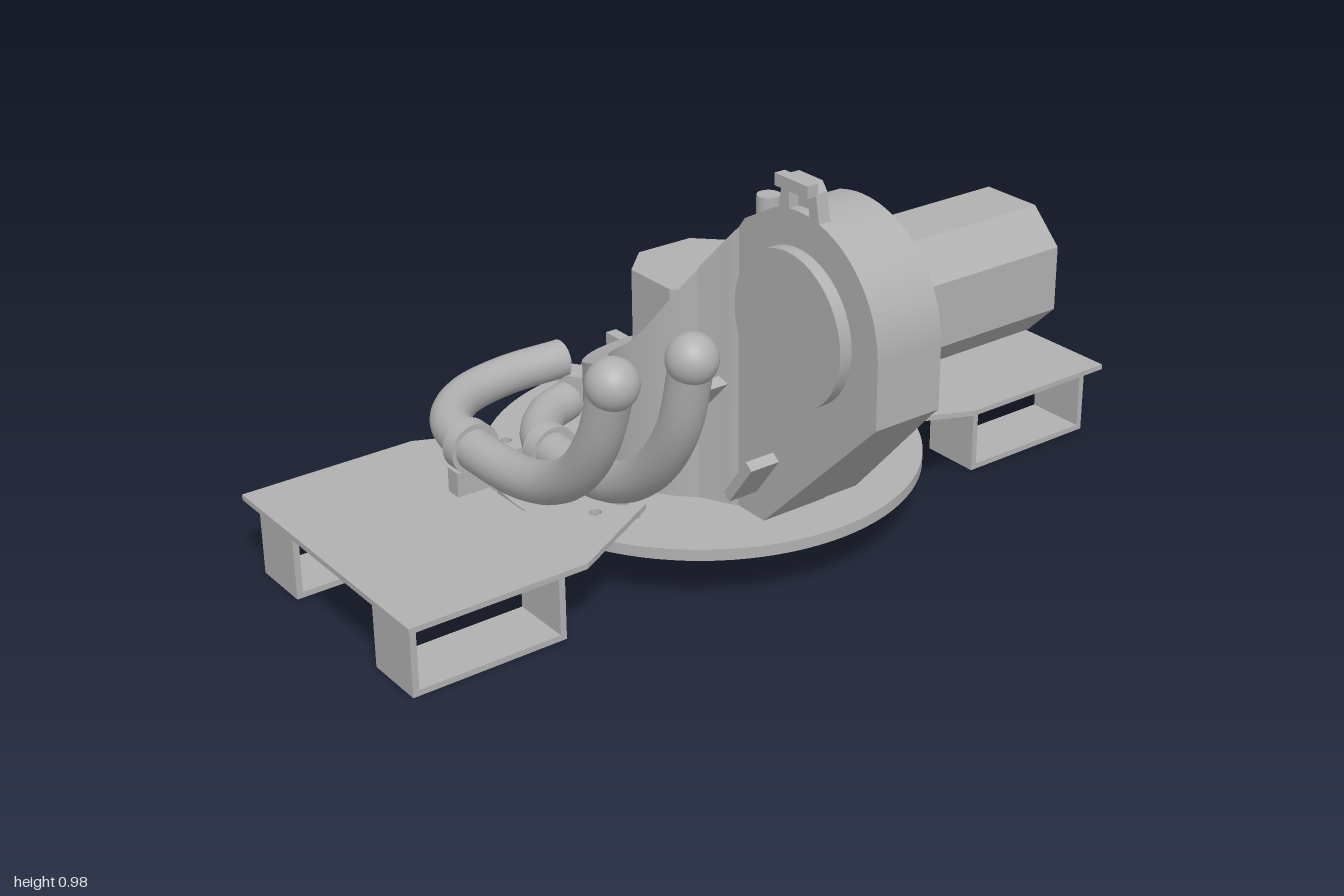
import * as THREE from 'three';

const metal = new THREE.MeshStandardMaterial({ color: 0xb0b0b0, side: THREE.DoubleSide });
metal.name = 'grey metal';

export function createModel() {
  const model = new THREE.Group();
  const add = (name, geo, x = 0, y = 0, z = 0, parent = model) => {
    const m = new THREE.Mesh(geo, metal);
    m.name = name;
    m.position.set(x, y, z);
    parent.add(m);
    return m;
  };
  const box = (name, x0, x1, y0, y1, z0, z1, parent = model) =>
    add(name, new THREE.BoxGeometry(x1 - x0, y1 - y0, z1 - z0), (x0 + x1) / 2, (y0 + y1) / 2, (z0 + z1) / 2, parent);
  const shapeOf = pts => new THREE.Shape(pts.map(p => new THREE.Vector2(p[0], p[1])));
  const circle = (x, y, r) => new THREE.Path().absarc(x, y, r, 0, Math.PI * 2, true);
  const extrude = (shape, depth) => new THREE.ExtrudeGeometry(shape, { depth, bevelEnabled: false, curveSegments: 40 });
  // Plate drawn in x and z, with its top at y = 0
  const flat = (shape, h) => extrude(shape, h).rotateX(Math.PI / 2);
  const lerp = (table, x) => {
    if (x <= table[0][0]) return table[0][1];
    for (let i = 1; i < table.length; i++) {
      const [a, b] = [table[i - 1], table[i]];
      if (x <= b[0]) return a[1] + (b[1] - a[1]) * (x - a[0]) / (b[0] - a[0]);
    }
    return table[table.length - 1][1];
  };
  // Smooth surface through two rails, fn(t, side)
  const ribbon = (name, n, fn) => {
    const pos = [], idx = [];
    for (let i = 0; i <= n; i++) {
      pos.push(...fn(i / n, 0), ...fn(i / n, 1));
      if (i < n) idx.push(2 * i, 2 * i + 2, 2 * i + 1, 2 * i + 1, 2 * i + 2, 2 * i + 3);
    }
    const g = new THREE.BufferGeometry();
    g.setAttribute('position', new THREE.Float32BufferAttribute(pos, 3));
    g.setIndex(idx);
    g.computeVertexNormals();
    return add(name, g);
  };

  // Turntable disc with edge stop
  add('baseDisc', new THREE.CylinderGeometry(0.513, 0.513, 0.027, 96), -0.117, 0.1385, 0);
  box('edgeStop', -0.63, -0.5, 0.132, 0.165, -0.19, -0.03);
  box('edgeStopFoot', -0.615, -0.545, 0.105, 0.132, -0.185, -0.09);

  // Two support plates on open box feet, turned half a circle from each other
  for (const [name, turn] of [['rearSupport', 0], ['frontSupport', 1]]) {
    const g = new THREE.Group();
    g.name = name;
    g.rotation.y = turn * Math.PI;
    g.position.x = -0.28 * turn;
    model.add(g);
    const plate = shapeOf([[-0.52, -1], [0.2, -1], [0.2, -0.57], [0.105, -0.36], [0.015, -0.36],
      [0.015, -0.55], [-0.245, -0.55], [-0.31, -0.32], [-0.38, -0.32], [-0.52, -0.57]]);
    for (const [x, z] of [[-0.345, -0.43], [-0.345, -0.36], [0.07, -0.395]]) plate.holes.push(circle(x, z, 0.014));
    add('supportPlate', flat(plate, 0.013), 0, 0.186, 0, g);
    box('tabSpacer', -0.38, -0.31, 0.15, 0.173, -0.42, -0.33, g).scale.x = 0.8;
    box('tabSpacer', 0.02, 0.1, 0.15, 0.173, -0.42, -0.37, g).scale.x = 0.8;
    for (const x of [-0.485, 0.01]) {
      const foot = shapeOf([[0.605, 0], [0.98, 0], [0.98, 0.173], [0.605, 0.173]]);
      foot.holes.push(new THREE.Path([[0.62, 0.014], [0.62, 0.16], [0.965, 0.16], [0.965, 0.014]].map(p => new THREE.Vector2(...p))));
      add('boxFoot', extrude(foot, 0.15).rotateY(Math.PI / 2), x, 0, 0, g);
      g.children[g.children.length - 1].geometry.scale(1, 1, 1);
    }
  }

  // Hollow column whose rim sweeps up into the arm
  const rim = [[-0.395, 0.33], [-0.3, 0.36], [-0.13, 0.43], [-0.06, 0.485], [0, 0.55], [0.04, 0.61],
    [0.1, 0.71], [0.165, 0.795], [0.2, 0.84], [0.3, 0.895]];
  const at = (t, r, low) => {
    const a = t * Math.PI * 2, x = -0.12 + r * Math.cos(a);
    return [x, low ? 0.15 : lerp(rim, x) - 0.002, r * Math.sin(a)];
  };
  ribbon('columnOuter', 96, (t, s) => at(t, 0.275, s));
  ribbon('columnInner', 96, (t, s) => at(t, 0.215, 1 - s));
  ribbon('columnRim', 96, (t, s) => at(t, s ? 0.275 : 0.215, 0));

  // Neck tapering from column to head
  const back = [[0.095, -0.172], [0.13, -0.135], [0.165, -0.095], [0.185, -0.075], [0.187, -0.045]];
  const front = [[0.095, 0.172], [0.13, 0.153], [0.165, 0.135], [0.187, 0.12]];
  const neckX = t => 0.095 + 0.092 * t;
  const neck = (t, side, top) => {
    const x = neckX(t);
    return [x, top ? lerp(rim, x) : 0.15, lerp(side, x)];
  };
  ribbon('neckBack', 20, (t, s) => neck(t, back, s));
  ribbon('neckFront', 20, (t, s) => neck(t, front, 1 - s));
  ribbon('neckTop', 20, (t, s) => neck(t, s ? back : front, 1));

  // Arm head: solid in front, bored out behind
  const [hx, hy] = [0.377, 0.655];
  const headShape = () => {
    const s = new THREE.Shape();
    s.moveTo(0.165, 0.152);
    s.lineTo(0.27, 0.152);
    s.lineTo(0.63, 0.51);
    s.lineTo(0.63, hy);
    s.absarc(hx, hy, 0.253, 0, 1.87, false);
    s.lineTo(0.2, 0.84);
    s.lineTo(0.165, 0.795);
    return s;
  };
  add('headFront', extrude(headShape(), 0.08), 0, 0, 0.045);
  const bored = headShape();
  bored.holes.push(circle(hx, hy, 0.2));
  add('headBack', extrude(bored, 0.09), 0, 0, -0.045);
  add('headCover', new THREE.CylinderGeometry(0.173, 0.173, 0.04, 64).rotateX(Math.PI / 2), hx, hy, 0.135);
  const web = flat(shapeOf([[0, 0.124], [0.5, 0.124], [0.5, -0.045], [0, -0.14]]), 0.03);
  web.translate(0, 0.03, 0).rotateZ(0.782);
  add('armWeb', web, 0.27, 0.154, 0);

  // Eight-sided motors
  const [a, b] = [0.0725, 0.147];
  const octagon = shapeOf([[-a, -b], [a, -b], [b, -a], [b, a], [a, b], [-a, b], [-b, a], [-b, -a]]);
  add('columnMotor', flat(octagon, 0.45), -0.12, 0.6, -0.005);
  add('armMotor', extrude(octagon, 0.53), hx, 0.657, -0.478);

  // Hook, pin and ribs on the arm
  const hook = shapeOf([[0.31, 0.88], [0.445, 0.88], [0.43, 0.96], [0.415, 0.98], [0.34, 0.98], [0.322, 0.96]]);
  hook.holes.push(new THREE.Path([[0.345, 0.905], [0.345, 0.95], [0.355, 0.962], [0.4, 0.962], [0.41, 0.95], [0.41, 0.905]].map(p => new THREE.Vector2(...p))));
  add('hookFrame', extrude(hook, 0.03), 0, 0, 0.095);
  box('hookBack', 0.34, 0.415, 0.89, 0.97, 0.09, 0.1);
  box('hookLip', 0.325, 0.43, 0.955, 0.982, 0.12, 0.147);
  add('pin', new THREE.CylinderGeometry(0.026, 0.026, 0.14, 24), 0.223, 0.82, 0.08);
  for (const [x, y] of [[0.11, 0.4], [0.272, 0.272]]) {
    add('armRib', new THREE.BoxGeometry(0.13, 0.025, 0.08), x, y, 0.16).rotation.z = 0.93;
  }

  // Hoses with ball ends and clamps
  const hoses = [
    ['outerHose', [[-0.46, 0.29, 0.165], [-0.46, 0.29, 0.32], [-0.42, 0.29, 0.46], [-0.33, 0.29, 0.55], [-0.2, 0.29, 0.58],
      [0, 0.3, 0.585], [0.13, 0.335, 0.585], [0.24, 0.405, 0.588], [0.32, 0.51, 0.59], [0.375, 0.655, 0.59]]],
    ['innerHose', [[-0.39, 0.215, 0.2], [-0.36, 0.215, 0.27], [-0.28, 0.215, 0.345], [-0.2, 0.22, 0.375], [0, 0.23, 0.382],
      [0.12, 0.27, 0.385], [0.24, 0.36, 0.39], [0.33, 0.49, 0.395], [0.375, 0.655, 0.395]]]
  ];
  for (const [name, pts] of hoses) {
    const path = new THREE.CatmullRomCurve3(pts.map(p => new THREE.Vector3(...p)));
    add(name, new THREE.TubeGeometry(path, 80, 0.047, 20));
    add(name + 'Ball', new THREE.SphereGeometry(0.056, 28, 20), ...pts[pts.length - 1]);
    add(name + 'Start', new THREE.SphereGeometry(0.047, 20, 12).scale(1, 1, 0.1), ...pts[0]);
    const c = pts.find(p => p[0] === -0.2);
    const ring = new THREE.Shape().absarc(0, 0, 0.06, 0, Math.PI * 2, false);
    ring.holes.push(circle(0, 0, 0.044));
    add(name + 'Clamp', extrude(ring, 0.04).rotateY(Math.PI / 2), -0.215, c[1], c[2]);
    box(name + 'ClampFoot', -0.215, -0.175, 0.16, c[1] - 0.045, c[2] - 0.05, c[2] + 0.05);
  }

  // Connector bracket beside the column
  box('connectorBracket', -0.53, -0.395, 0.15, 0.285, -0.045, -0.015);
  box('connectorBase', -0.53, -0.4, 0.15, 0.175, -0.045, 0.08);
  add('connectorPlug', new THREE.CylinderGeometry(0.045, 0.045, 0.11, 8).rotateX(Math.PI / 2), -0.455, 0.225, 0.03);
  add('hoseSocket', new THREE.BoxGeometry(0.1, 0.09, 0.07), -0.42, 0.215, 0.13).rotation.y = 0.6;
  return model;
}
